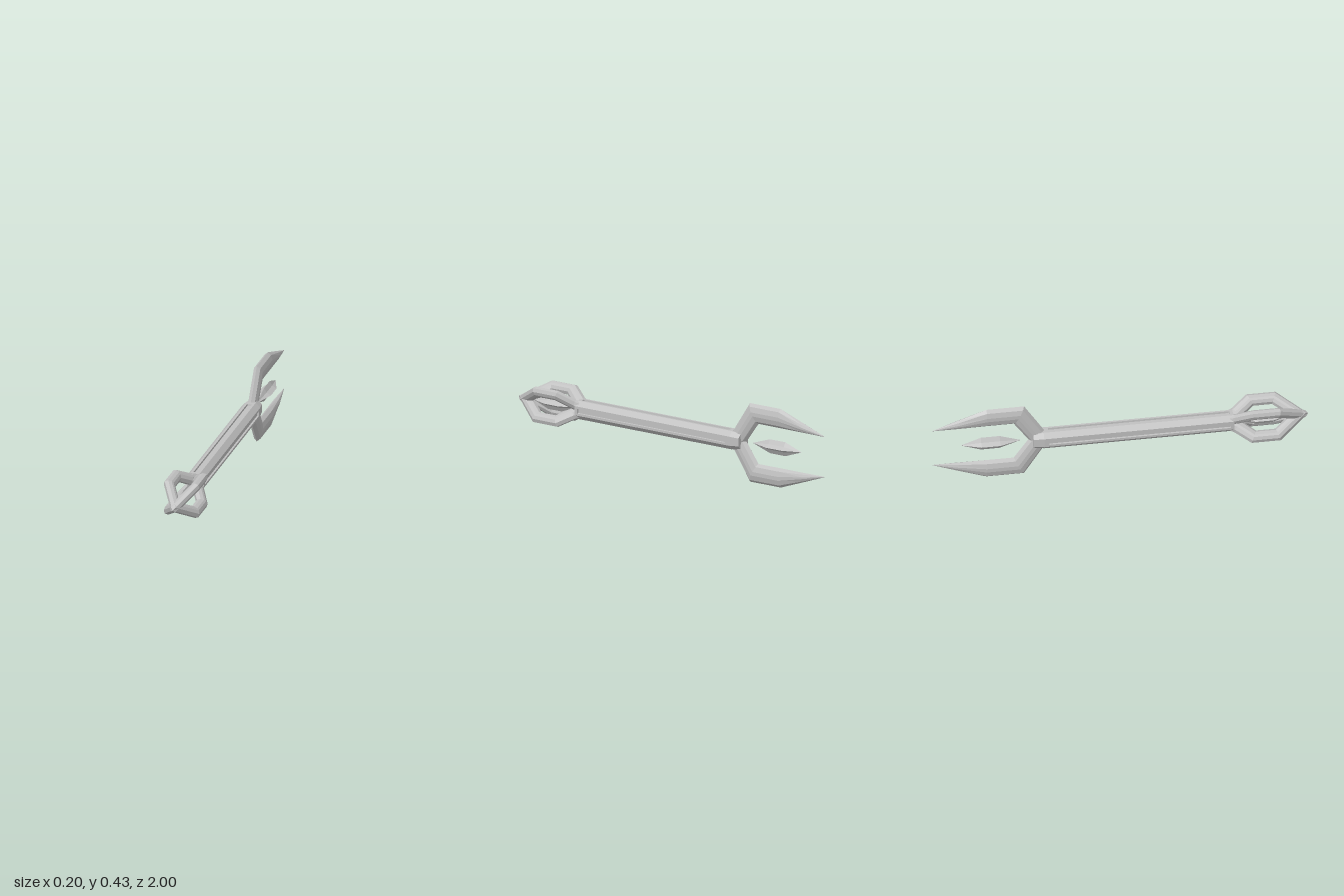
import * as THREE from 'three';

const AXIS_HEIGHT = 0.215;

// Skin a list of equal-length rings with flat faces and closed ends.
function loft(rings) {
  const tris = [];
  const n = rings[0].length;
  for (let i = 0; i < rings.length - 1; i++) {
    for (let j = 0; j < n; j++) {
      const k = (j + 1) % n;
      const [a, b, c, d] = [rings[i][j], rings[i][k], rings[i + 1][k], rings[i + 1][j]];
      tris.push([a, b, c], [a, c, d]);
    }
  }
  const cap = (ring, flip) => {
    const mid = ring.reduce((s, p) => s.add(p), new THREE.Vector3()).divideScalar(n);
    for (let j = 0; j < n; j++) {
      const k = (j + 1) % n;
      tris.push(flip ? [mid, ring[k], ring[j]] : [mid, ring[j], ring[k]]);
    }
  };
  cap(rings[0], true);
  cap(rings[rings.length - 1], false);

  // Turn the faces outward if the enclosed volume is negative
  const cross = new THREE.Vector3();
  const volume = tris.reduce((v, [a, b, c]) => v + a.dot(cross.crossVectors(b, c)), 0);
  if (volume < 0) tris.forEach((t) => t.reverse());
  const geometry = new THREE.BufferGeometry().setFromPoints(tris.flat());
  geometry.computeVertexNormals();
  return geometry;
}

// Ridged bar section: [side, along], both from -1 to 1
const BAR_SECTION = [
  [0, 1], [0.7, 0.72], [1, 0.2], [1, -0.2], [0.7, -0.72],
  [0, -1], [-0.7, -0.72], [-1, -0.2], [-1, 0.2], [-0.7, 0.72],
];

// Bent bar in the y-z plane; each section is [outerZ, outerY, innerZ, innerY, halfWidth].
function bentBar(sections) {
  return loft(sections.map(([oz, oy, iz, iy, w]) => BAR_SECTION.map(([side, along]) => {
    const t = (1 + along) / 2;
    return new THREE.Vector3(w * side, iy + (oy - iy) * t, iz + (oz - iz) * t);
  })));
}

// Star-section crystal along z; each station is [z, scale].
function crystal(stations, ridge, valley) {
  return loft(stations.map(([z, s]) => {
    const ring = [];
    for (let i = 0; i < 8; i++) {
      const a = (i * Math.PI) / 4;
      const r = (i % 2 ? valley : ridge) * s;
      ring.push(new THREE.Vector3(r * Math.cos(a), r * Math.sin(a), z));
    }
    return ring;
  }));
}

// Octagonal shaft section with a slot of the given depth on each main side.
function shaftRing(z, depth, scale = 1) {
  const ring = [];
  for (let q = 0; q < 4; q++) {
    const a = (q * Math.PI) / 2;
    for (const [x, y] of [
      [0.05, -0.025], [0.05, -0.013], [0.05 - depth, -0.012],
      [0.05 - depth, 0.012], [0.05, 0.013], [0.05, 0.025],
    ]) {
      ring.push(new THREE.Vector3(
        (x * Math.cos(a) - y * Math.sin(a)) * scale,
        (x * Math.sin(a) + y * Math.cos(a)) * scale, z));
    }
  }
  return ring;
}

export function createModel() {
  const model = new THREE.Group();
  model.name = 'sceptre';
  const body = new THREE.Group();
  body.name = 'body';
  body.position.y = AXIS_HEIGHT;
  model.add(body);

  const metal = new THREE.MeshStandardMaterial({ color: 0xc0c0c0, flatShading: true });
  metal.name = 'light grey metal';
  const add = (name, geometry, turn = 0) => {
    const mesh = new THREE.Mesh(geometry, metal);
    mesh.name = name;
    mesh.rotation.z = turn;
    body.add(mesh);
  };

  // Slotted shaft with a tapered collar behind it
  add('shaft', loft([
    shaftRing(0.6, 0), shaftRing(0.582, 0), shaftRing(0.58, 0.01),
    shaftRing(-0.38, 0.01), shaftRing(-0.382, 0), shaftRing(-0.41, 0),
  ]));
  add('collar', loft([shaftRing(-0.4, 0), shaftRing(-0.465, 0, 0.86)]));

  // Four diagonal bars form the cage at the front
  const cageBar = bentBar([
    [0.57, 0.05, 0.6, 0.0, 0.025],
    [0.6, 0.065, 0.64, 0.005, 0.025],
    [0.685, 0.13, 0.715, 0.066, 0.025],
    [0.84, 0.13, 0.815, 0.066, 0.025],
    [1.0, 0.0, 0.9, 0.0, 0.025],
  ]);
  for (let i = 0; i < 4; i++) add('cageBar', cageBar, Math.PI / 4 + (i * Math.PI) / 2);

  // Two curved prongs at the back
  const prong = bentBar([
    [-0.39, 0.03, -0.485, -0.003, 0.025],
    [-0.51, 0.214, -0.565, 0.109, 0.025],
    [-0.71, 0.214, -0.71, 0.109, 0.025],
    [-0.86, 0.16, -0.86, 0.109, 0.018],
    [-1.0, 0.109, -1.0, 0.108, 0.0005],
  ]);
  add('upperProng', prong);
  add('lowerProng', prong, Math.PI);

  // Floating crystals inside the cage and between the prongs
  add('cageCrystal', crystal([[0.9, 0.02], [0.81, 1], [0.72, 1], [0.63, 0.02]], 0.036, 0.019));
  add('prongCrystal', crystal([[-0.53, 0.02], [-0.64, 1], [-0.74, 1], [-0.845, 0.02]], 0.038, 0.02));

  return model;
}
